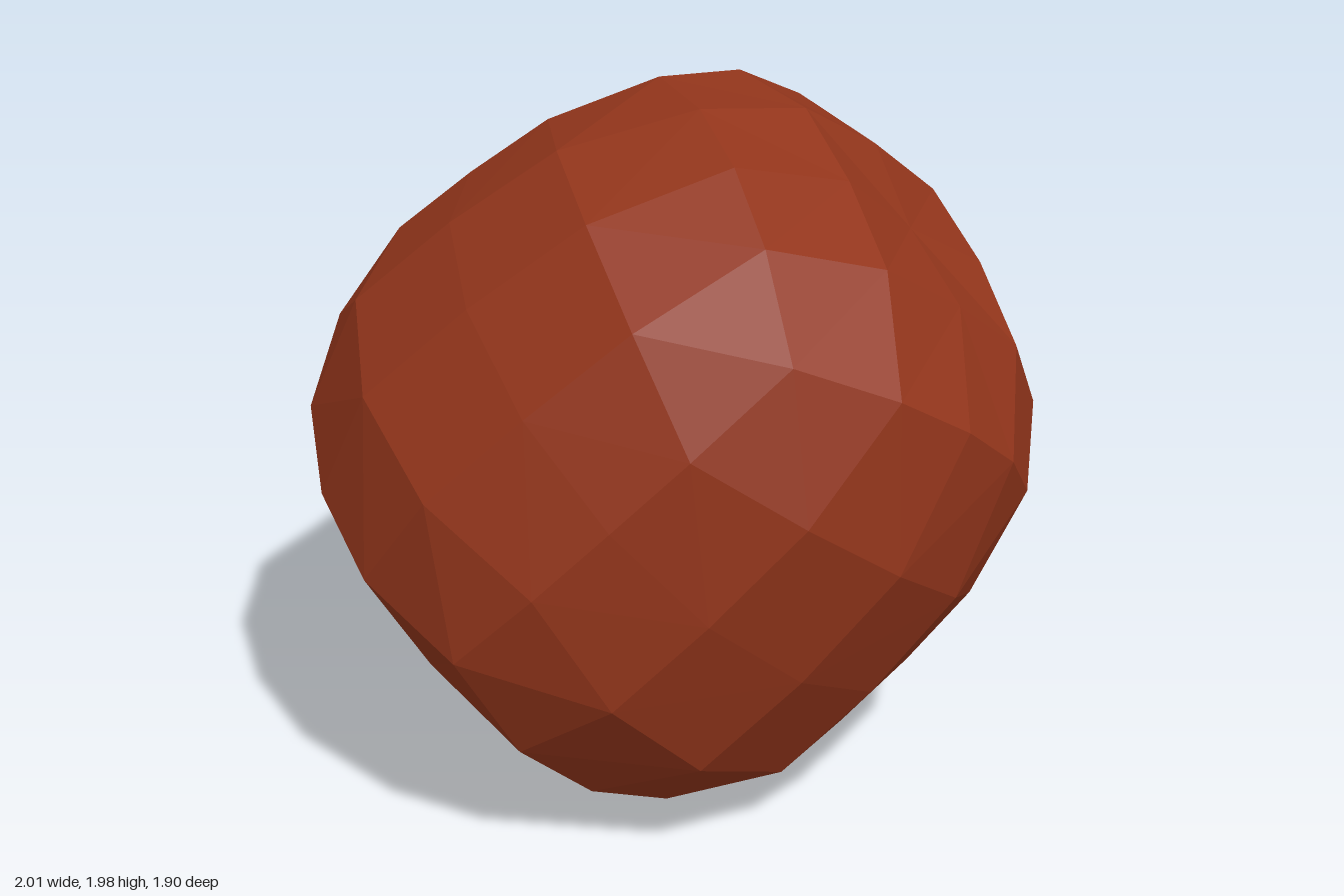
import * as THREE from 'three';

const V = (x, y, z) => new THREE.Vector3(x, y, z);

// Tilted frame of the fruit: "stemward" points out of the stem pit
const stemward = V(-0.61, -0.70, 0.36).normalize();
const across = V(0.774, -0.452, 0.435).normalize();
const side = new THREE.Vector3().crossVectors(stemward, across).normalize();
const centre = V(0.04, 1.04, -0.04);

// Point of the fruit skin for a direction in the fruit's own frame (z = stemward)
function skinPoint(dir) {
  const p = dir.clone().normalize();
  const cos2 = p.z * p.z;
  // barrel profile: flattened at both ends, full at the shoulders
  p.multiplyScalar(0.94 - 0.09 * cos2 + 0.13 * 4 * cos2 * (1 - cos2));
  if (dir.x === 0 && dir.y === 0) p.z = dir.z > 0 ? 0.63 : -0.835; // stem pit, shallow dimple
  const taper = 0.99 + 0.13 * p.z; // wider towards the stem
  return centre.clone()
    .addScaledVector(across, p.x * taper)
    .addScaledVector(side, p.y * taper * 0.96)
    .addScaledVector(stemward, p.z);
}

// Cube-sphere with 4 x 4 facets on each of its six faces
function fruitGeometry() {
  const positions = [];
  const axes = [V(1, 0, 0), V(0, 1, 0), V(0, 0, 1)];
  for (let k = 0; k < 3; k++) {
    for (const sign of [1, -1]) {
      const n = axes[k].clone().multiplyScalar(sign);
      const a = axes[(k + 1) % 3];
      const b = new THREE.Vector3().crossVectors(n, a);
      const at = (i, j) => skinPoint(n.clone()
        .addScaledVector(a, Math.tan(i * Math.PI / 8))
        .addScaledVector(b, Math.tan(j * Math.PI / 8)));
      for (let i = -2; i < 2; i++) {
        for (let j = -2; j < 2; j++) {
          const q = [at(i, j), at(i + 1, j), at(i + 1, j + 1), at(i, j + 1)];
          // diagonals radiate from the middle of each face
          const order = (i + 0.5) * (j + 0.5) > 0 ? [0, 1, 2, 0, 2, 3] : [0, 1, 3, 1, 2, 3];
          for (const o of order) positions.push(q[o].x, q[o].y, q[o].z);
        }
      }
    }
  }
  const g = new THREE.BufferGeometry();
  g.setAttribute('position', new THREE.Float32BufferAttribute(positions, 3));
  g.computeVertexNormals();
  return g;
}

export function createModel() {
  const model = new THREE.Group();
  model.name = 'apple';
  const add = (name, geometry, color, parent = model) => {
    const mesh = new THREE.Mesh(geometry, new THREE.MeshStandardMaterial({ color, flatShading: true }));
    mesh.name = name;
    parent.add(mesh);
    return mesh;
  };

  add('fruit', fruitGeometry(), 0x92351b);

  // Bent stem in three straight pieces rising out of the pit, with a knob at its end
  const stem = new THREE.Group();
  stem.name = 'stem';
  model.add(stem);
  const path = new THREE.CatmullRomCurve3([
    V(-0.33, 0.60, 0.19), V(-0.47, 0.44, 0.25), V(-0.66, 0.335, 0.28), V(-0.86, 0.33, 0.27),
  ]);
  add('stemShaft', new THREE.TubeGeometry(path, 3, 0.023, 8, false), 0x3a342a, stem);
  const knob = add('stemKnob', new THREE.CylinderGeometry(0.024, 0.031, 0.05, 8), 0x2e1c14, stem);
  knob.rotation.z = Math.PI / 2;
  knob.position.set(-0.86, 0.33, 0.27);

  return model;
}
